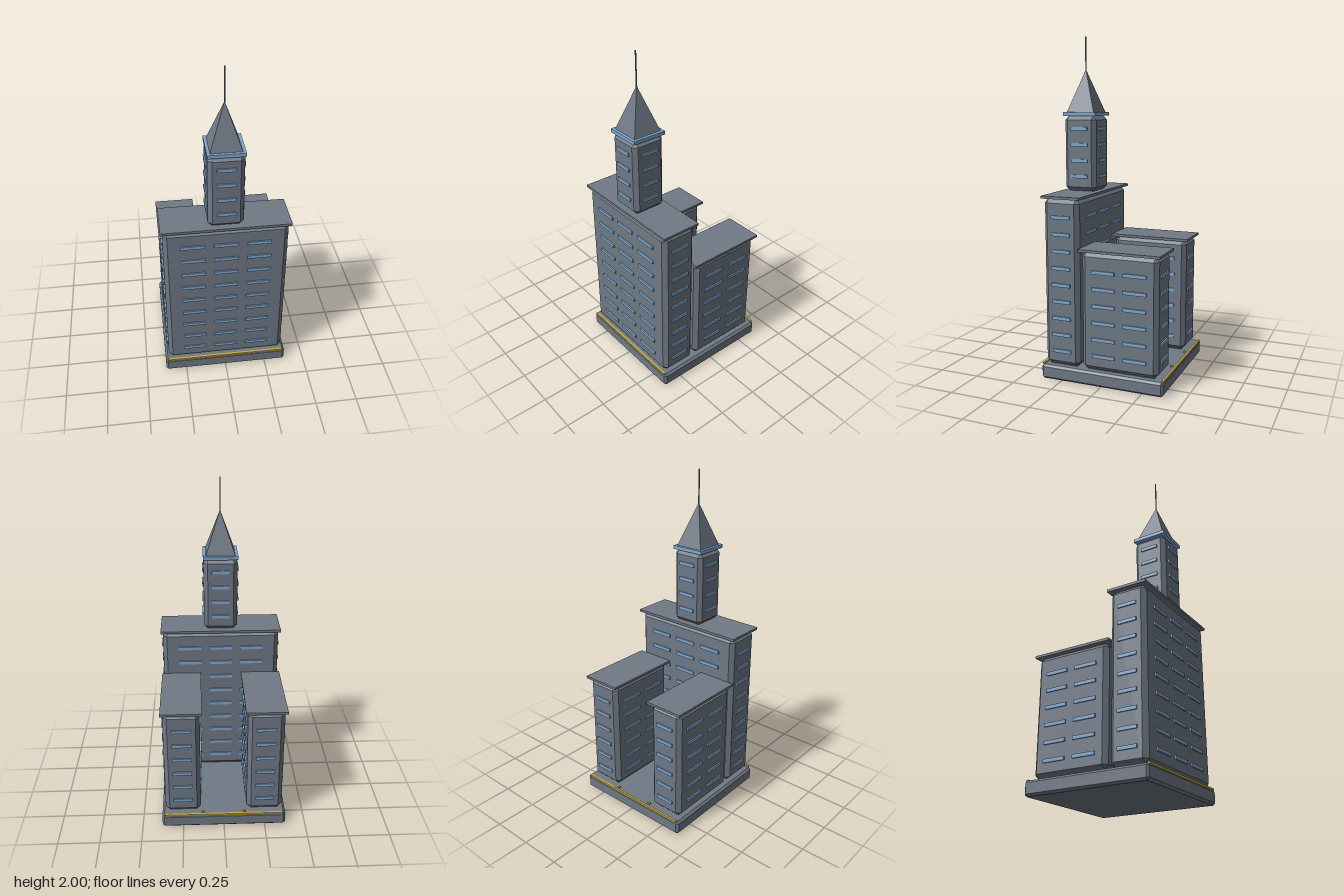
import * as THREE from 'three';
import { ConvexGeometry } from 'three/addons/geometries/ConvexGeometry.js';

const stone = new THREE.MeshStandardMaterial({ name: 'slate grey', color: 0x6f7985 });
const glass = new THREE.MeshStandardMaterial({ name: 'window blue', color: 0x7fa8d0 });
const gold = new THREE.MeshStandardMaterial({ name: 'gold trim', color: 0xc8ac46 });

// Box given by its minimum and maximum corners
function box(name, min, max, material) {
  const size = max.map((v, i) => v - min[i]);
  const mesh = new THREE.Mesh(new THREE.BoxGeometry(...size), material);
  mesh.position.set(...max.map((v, i) => (v + min[i]) / 2));
  mesh.name = name;
  return mesh;
}

// Box with every edge cut off by a chamfer
function chamferBox(name, min, max, cut) {
  const half = max.map((v, i) => (v - min[i]) / 2);
  const points = [];
  for (const sx of [-1, 1]) for (const sy of [-1, 1]) for (const sz of [-1, 1])
    for (let axis = 0; axis < 3; axis++) {
      const c = half.map((h, i) => (i === axis ? h : h - cut));
      points.push(new THREE.Vector3(c[0] * sx, c[1] * sy, c[2] * sz));
    }
  const mesh = new THREE.Mesh(new ConvexGeometry(points), stone);
  mesh.position.set(...max.map((v, i) => (v + min[i]) / 2));
  mesh.name = name;
  return mesh;
}

// Grids of thin window strips on all four walls of a block
function windows(min, max, xWall, zWall, rows, y0, step) {
  const group = new THREE.Group();
  group.name = 'windows';
  const cx = (min[0] + max[0]) / 2, cz = (min[2] + max[2]) / 2;
  const hx = (max[0] - min[0]) / 2, hz = (max[2] - min[2]) / 2;
  const walls = [[0, hz, xWall], [Math.PI, hz, xWall], [Math.PI / 2, hx, zWall], [-Math.PI / 2, hx, zWall]];
  for (const [angle, distance, wall] of walls) {
    const side = new THREE.Group();
    side.name = 'windowWall';
    side.position.set(cx, 0, cz);
    side.rotation.y = angle;
    const strip = new THREE.BoxGeometry(wall.width, 0.02, 0.009);
    for (let r = 0; r < rows; r++) for (let c = 0; c < wall.columns; c++) {
      const pane = new THREE.Mesh(strip, glass);
      pane.name = 'window';
      pane.position.set((c - (wall.columns - 1) / 2) * 0.19, y0 + r * step, distance + 0.0035);
      side.add(pane);
    }
    group.add(side);
  }
  return group;
}

function block(name, min, max, cut, ...windowSpec) {
  const group = new THREE.Group();
  group.name = name;
  group.add(chamferBox(name + 'Walls', min, max, cut), windows(min, max, ...windowSpec));
  return group;
}

export function createModel() {
  const model = new THREE.Group();
  model.name = 'skyscraper';
  const one = { columns: 1, width: 0.116 };
  const two = { columns: 2, width: 0.138 };
  const three = { columns: 3, width: 0.138 };

  // Plinth
  model.add(chamferBox('plinth', [-0.378, 0, -0.378], [0.378, 0.086, 0.378], 0.013));

  // Gold strips along the front and back edges of the plinth
  for (const s of [-1, 1]) {
    const z = s * 0.371;
    model.add(box('goldStrip', [-0.36, 0.08, z - 0.0065], [0.36, 0.092, z + 0.0065], gold));
  }

  // Main slab with its roof
  const slab = block('mainSlab', [-0.357, 0.09, 0.14], [0.357, 1.075, 0.36], 0.025, three, one, 9, 0.178, 0.099);
  slab.add(box('mainRoof', [-0.369, 1.075, 0.127], [0.369, 1.09, 0.37], stone));
  model.add(slab);

  // Two rear wings with roofs and corner lamps
  for (const s of [-1, 1]) {
    const range = (a, b) => (s > 0 ? [a, b] : [-b, -a]);
    const [x0, x1] = range(0.14, 0.357);
    const wing = block(s > 0 ? 'leftWing' : 'rightWing', [x0, 0.09, -0.34], [x1, 0.782, 0.124], 0.025, one, two, 6, 0.178, 0.0986);
    const [r0, r1] = range(0.127, 0.369);
    wing.add(box('wingRoof', [r0, 0.782, -0.355], [r1, 0.797, 0.138], stone));
    const [l0, l1] = range(0.12, 0.134);
    wing.add(box('cornerLamp', [l0, 0.084, -0.353], [l1, 0.094, -0.34], gold));
    model.add(wing);
  }

  // Tower and its blue cornice
  const tower = block('tower', [-0.101, 1.09, 0.149], [0.101, 1.537, 0.351], 0.024,
    { columns: 1, width: 0.106 }, { columns: 1, width: 0.106 }, 4, 1.178, 0.0945);
  tower.add(box('cornice', [-0.104, 1.537, 0.146], [0.104, 1.558, 0.354], glass));
  model.add(tower);

  // Pyramid spire and mast
  const spireShape = new THREE.ConeGeometry(0.087 * Math.SQRT2, 0.252, 4).rotateY(Math.PI / 4).toNonIndexed();
  spireShape.computeVertexNormals();
  const spire = new THREE.Mesh(spireShape, stone);
  spire.name = 'spire';
  spire.position.set(0, 1.684, 0.25);
  const mast = new THREE.Mesh(new THREE.CylinderGeometry(0.004, 0.004, 0.22, 8), stone);
  mast.name = 'mast';
  mast.position.set(0, 1.89, 0.25);
  model.add(spire, mast);

  // Block bases sit on the plinth
  model.add(box('slabFooting', [-0.33, 0.08, 0.167], [0.33, 0.092, 0.333], stone));
  for (const s of [-1, 1]) {
    const c = s * 0.2485;
    model.add(box('wingFooting', [c - 0.082, 0.08, -0.313], [c + 0.082, 0.092, 0.097], stone));
  }
  return model;
}
